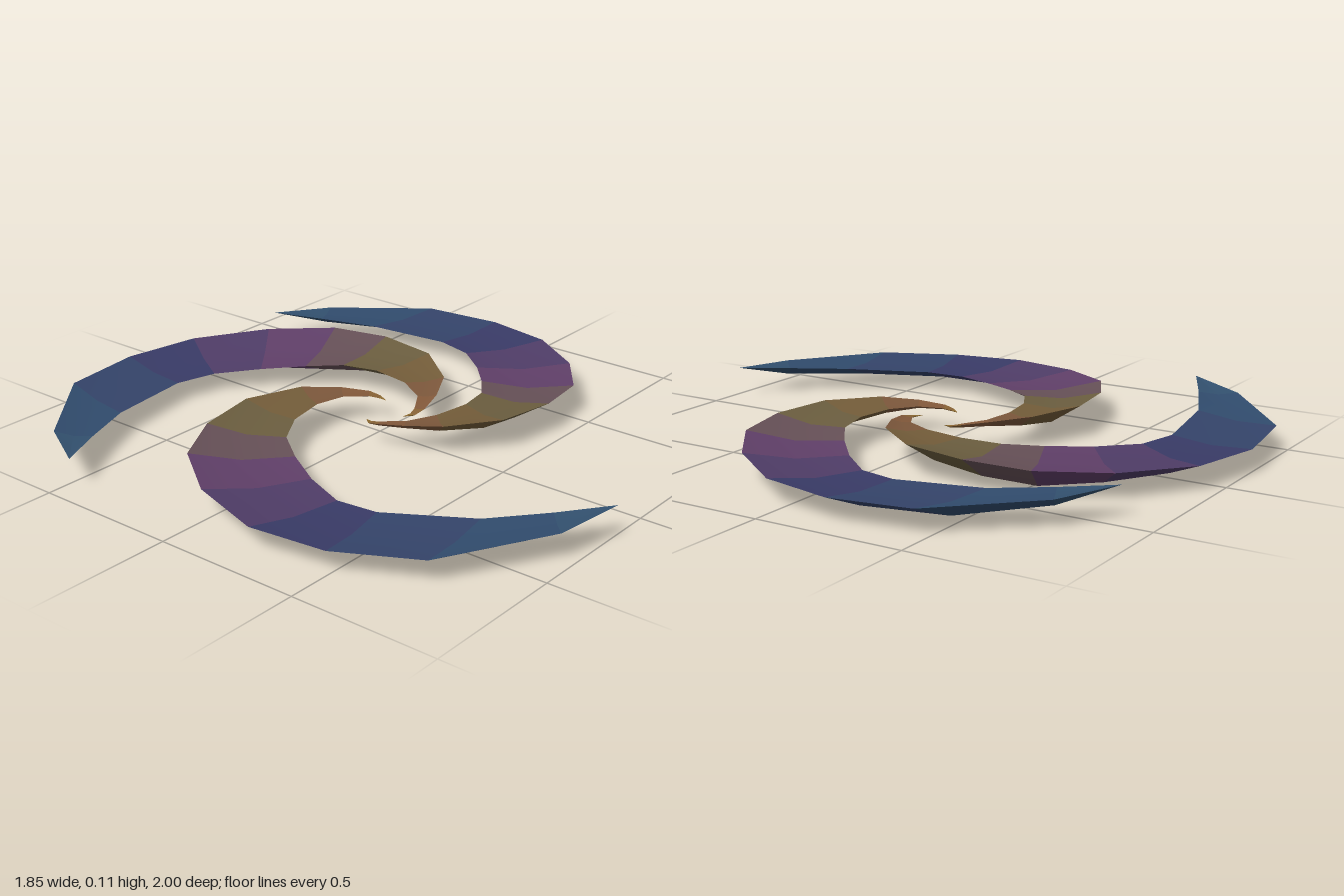
import * as THREE from 'three';

// Sections of one arm from outer tip to hub, in polar form:
// [outer rim radius, outer rim degrees, inner rim radius, inner rim degrees]
const SECTIONS = [
  [1.008, 97.7, 1.008, 97.7],
  [1.026, 111.1, .91, 107.5],
  [1.04, 133.7, .828, 120.4],
  [.983, 149.8, .719, 141.7],
  [.915, 165.2, .653, 152.2],
  [.81, 182, .545, 163.4],
  [.709, 198.4, .449, 177],
  [.582, 213.6, .381, 192.4],
  [.445, 233.5, .298, 209.3],
  [.297, 257, .209, 234.4],
  [.198, 279, .15, 266],
  [.143, 307, .11, 301],
  [.12, 322, .1, 318],
  [.086, 335, .086, 335],
];

// The three arms share one shape, turned and scaled about the hub
const ARMS = [
  { name: 'rightArm', turn: 0, scale: 1 },
  { name: 'backArm', turn: 109.4, scale: 1.037 },
  { name: 'leftArm', turn: 198.7, scale: .957 },
];

// Colour ramp from the outer tip to the hub
const RAMP = [0x32506e, 0x304a6c, 0x393a66, 0x603f68, 0x6c6038, 0x80543c, 0x8c6a30].map((c) => new THREE.Color(c));

function rampColor(t) {
  const f = t * (RAMP.length - 1);
  const i = Math.min(Math.floor(f), RAMP.length - 2);
  return RAMP[i].clone().lerp(RAMP[i + 1], f - i);
}

function polar(radius, degrees, y) {
  const a = THREE.MathUtils.degToRad(degrees);
  return new THREE.Vector3(radius * Math.cos(a), y, radius * Math.sin(a));
}

function createArm({ name, turn, scale }) {
  const arm = new THREE.Group();
  arm.name = name;
  const last = SECTIONS.length - 1;

  // Six points per section: upper face then lower face, so the rim stays sharp
  const positions = SECTIONS.flatMap(([ro, ao, ri, ai], i) => {
    const t = i / last;
    // The outer rim dips behind the tip and crests towards the hub; the inner rim sits lower mid-arm
    const rimY = .092 + .017 * Math.cos(Math.PI * (i - 8) / 5);
    const outer = polar(ro * scale, ao + turn, rimY);
    const inner = polar(ri * scale, ai + turn, rimY - .02 * Math.sin(Math.PI * t) ** 2);
    const middle = outer.clone().lerp(inner, .5);
    // The keel deepens with the width of the arm, and the upper face is slightly dished
    const floorY = .08 * Math.abs(t - 6 / last);
    const depth = Math.min(.28 * outer.distanceTo(inner), middle.y - floorY);
    const top = middle.clone().setY(middle.y - .2 * depth);
    const keel = middle.clone().setY(middle.y - depth);
    return [outer, top, inner, inner, keel, outer].flatMap((p) => p.toArray());
  });

  // One strip of faces between each pair of sections
  const strips = [];
  for (let i = 0; i < last; i++) {
    strips.push([0, 1, 3, 4].flatMap((k) => {
      const a = i * 6 + k;
      return [a, a + 1, a + 6, a + 1, a + 7, a + 6];
    }));
  }

  // Normals are computed over the whole arm so the bands blend smoothly
  const whole = new THREE.BufferGeometry();
  whole.setAttribute('position', new THREE.Float32BufferAttribute(positions, 3));
  whole.setIndex(strips.flat());
  whole.computeVertexNormals();

  strips.forEach((strip, i) => {
    const geometry = new THREE.BufferGeometry();
    geometry.setAttribute('position', whole.getAttribute('position'));
    geometry.setAttribute('normal', whole.getAttribute('normal'));
    geometry.setIndex(strip);
    const color = rampColor((i / (last - 1)) ** .8);
    const band = new THREE.Mesh(geometry, new THREE.MeshStandardMaterial({ color }));
    band.name = `${name}Band${i + 1}`;
    arm.add(band);
  });
  return arm;
}

export function createModel() {
  const model = new THREE.Group();
  model.name = 'spiral';
  for (const spec of ARMS) model.add(createArm(spec));
  return model;
}
